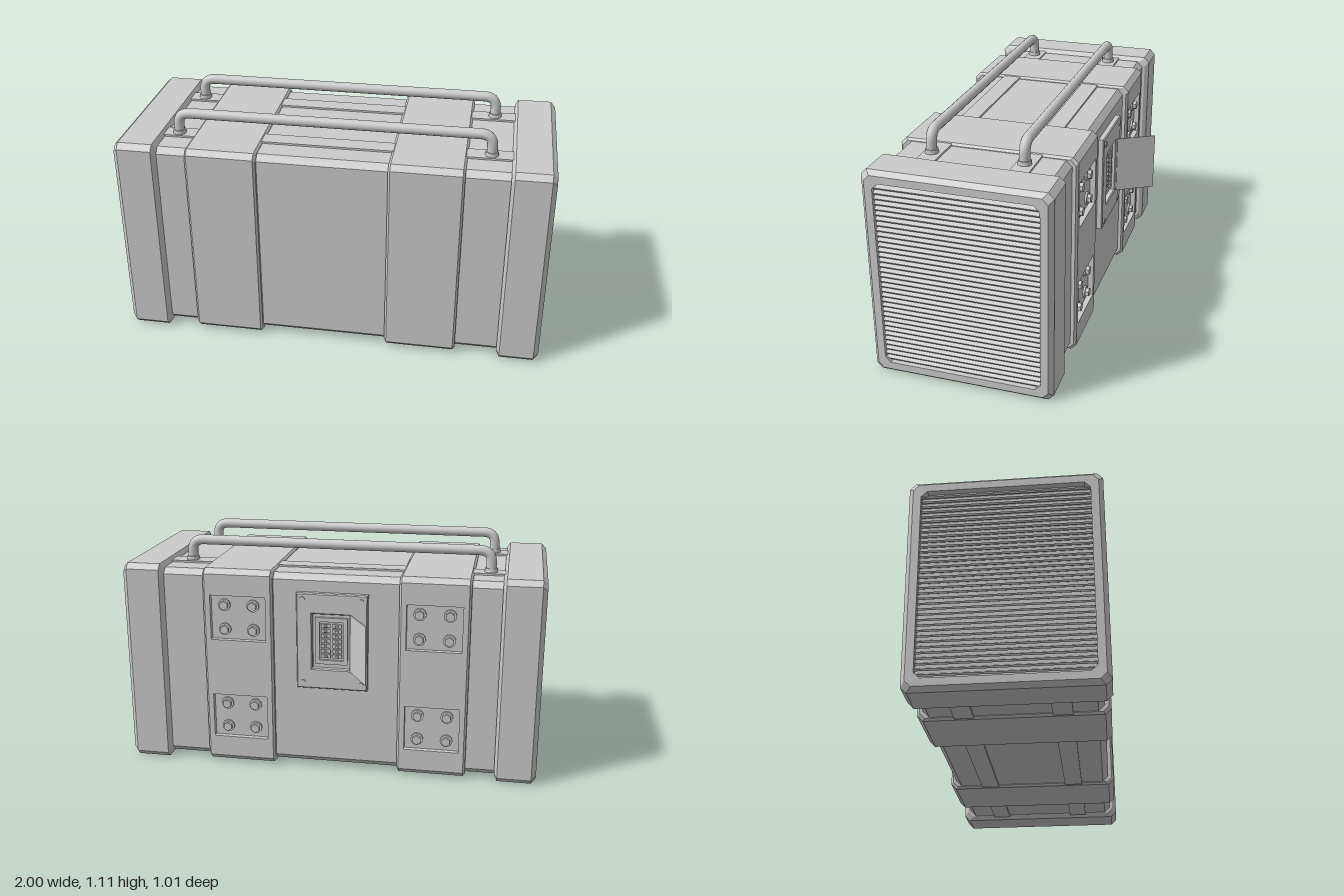
import * as THREE from 'three';

const MID_Y = 0.4975, MID_Z = 0.083;
const flat = new THREE.MeshStandardMaterial({ color: 0xcccccc, flatShading: true });
const smooth = new THREE.MeshStandardMaterial({ color: 0xcccccc });
const thin = new THREE.MeshStandardMaterial({ color: 0xcccccc, side: THREE.DoubleSide });

function add(parent, name, geometry, x = 0, y = 0, z = 0, material = flat) {
  const mesh = new THREE.Mesh(geometry, material);
  mesh.name = name;
  mesh.position.set(x, y, z);
  parent.add(mesh);
  return mesh;
}

function box(parent, name, w, h, d, x, y, z) {
  return add(parent, name, new THREE.BoxGeometry(w, h, d), x, y, z);
}

// Rectangle with cut corners, as [y, z] points
function octagon(h, w, c) {
  return [[h, c - w], [h, w - c], [h - c, w], [c - h, w],
    [-h, w - c], [-h, c - w], [c - h, -w], [h - c, -w]];
}

// Skins cut-corner sections along x; each section is [x, inset]
function loft(h, w, c, sections) {
  const rings = sections.map(([x, inset]) =>
    octagon(h - inset, w - inset, c).map(([y, z]) => [x, y, z]));
  const pos = [];
  const tri = (...pts) => pts.forEach(p => pos.push(...p));
  for (let i = 0; i < rings.length - 1; i++) {
    const a = rings[i], b = rings[i + 1];
    for (let j = 0; j < 8; j++) {
      const k = (j + 1) % 8;
      tri(a[j], a[k], b[k]);
      tri(a[j], b[k], b[j]);
    }
  }
  const first = rings[0], last = rings[rings.length - 1];
  for (let j = 1; j < 7; j++) {
    tri(first[0], first[j + 1], first[j]);
    tri(last[0], last[j], last[j + 1]);
  }
  const g = new THREE.BufferGeometry();
  g.setAttribute('position', new THREE.Float32BufferAttribute(pos, 3));
  g.computeVertexNormals();
  return g;
}

// Cylinder whose axis points along z
function disc(parent, name, r, depth, sides, x, y, z) {
  const g = new THREE.CylinderGeometry(r, r, depth, sides).rotateX(Math.PI / 2);
  return add(parent, name, g, x, y, z);
}

// End cap with a recessed louvred grille, facing +x
function makeEndCap() {
  const cap = new THREE.Group();
  cap.name = 'endCap';
  add(cap, 'capFrame', loft(MID_Y, 0.42, 0.026, [
    [0.803, 0.02], [0.818, 0], [0.978, 0], [1, 0.02], [1, 0.055], [0.968, 0.055]]));
  const count = 35, pitch = 0.87 / count;
  for (let i = 0; i < count; i++) {
    const y = -0.435 + (i + 0.5) * pitch;
    const slat = box(cap, 'louvre', 0.026, 0.009, 0.728, 0.979, y, 0);
    slat.rotation.z = -0.5;
  }
  return cap;
}

// Strap around the case, with two bolted pockets at the back
function makeBand(x0, x1) {
  const band = new THREE.Group();
  band.name = 'band';
  const h = 0.488, w = 0.4125, c = 0.025, rim = 0.035, edge = 0.01, floor = -0.387;
  add(band, 'bandEdge', loft(h, w, c, [[x0, edge], [x0 + edge, 0], [x0 + rim, 0]]));
  add(band, 'bandEdge', loft(h, w, c, [[x1 - rim, 0], [x1 - edge, 0], [x1, edge]]));

  const pts = octagon(h, w, c).map(([y, z]) => new THREE.Vector2(-z, y));
  for (const [lo, hi] of [[-0.36, -0.14], [0.14, 0.36]]) {
    pts.push(...[[w, lo], [-floor, lo], [-floor, hi], [w, hi]].map(p => new THREE.Vector2(...p)));
  }
  // Put the notches between the lower and upper back corners
  const profile = [...pts.slice(0, 7), ...pts.slice(8), pts[7]];
  const middle = new THREE.ExtrudeGeometry(new THREE.Shape(profile),
    { depth: x1 - x0 - 2 * rim, bevelEnabled: false }).rotateY(Math.PI / 2);
  add(band, 'bandMiddle', middle, x0 + rim);

  const cx = (x0 + x1) / 2;
  for (const cy of [-0.25, 0.25]) {
    for (const sx of [-1, 1]) {
      for (const sy of [-1, 1]) {
        const x = cx + sx * 0.07, y = cy + sy * 0.06;
        disc(band, 'washer', 0.03, 0.01, 16, x, y, floor - 0.004);
        disc(band, 'boltHead', 0.022, 0.022, 6, x, y, floor - 0.014);
      }
    }
  }
  return band;
}

// Carry bar with bent ends and foot collars
function makeCarryBar(z) {
  const bar = new THREE.Group();
  bar.name = 'carryBar';
  const x0 = -0.74, x1 = 0.71, base = 0.965, top = 1.081, bend = 0.055;
  const v = (x, y) => new THREE.Vector3(x, y, z);
  const path = new THREE.CurvePath();
  path.add(new THREE.LineCurve3(v(x0, base), v(x0, top - bend)));
  path.add(new THREE.QuadraticBezierCurve3(v(x0, top - bend), v(x0, top), v(x0 + bend, top)));
  path.add(new THREE.LineCurve3(v(x0 + bend, top), v(x1 - bend, top)));
  path.add(new THREE.QuadraticBezierCurve3(v(x1 - bend, top), v(x1, top), v(x1, top - bend)));
  path.add(new THREE.LineCurve3(v(x1, top - bend), v(x1, base)));
  add(bar, 'bar', new THREE.TubeGeometry(path, 120, 0.024, 16), 0, 0, 0, smooth);
  for (const x of [x0, x1]) {
    add(bar, 'footCollar', new THREE.CylinderGeometry(0.029, 0.032, 0.025, 16), x, 0.987, z);
  }
  return bar;
}

// Breaker panel on the back with its door swung open
function makeControlPanel() {
  const panel = new THREE.Group();
  panel.name = 'controlPanel';
  const rect = (T, x0, x1, y0, y1) => new T([[x0, y0], [x1, y0], [x1, y1], [x0, y1]]
    .map(p => new THREE.Vector2(...p)));
  const plate = rect(THREE.Shape, -0.185, 0.145, 0.425, 0.885);
  plate.holes.push(rect(THREE.Path, -0.11, 0.08, 0.515, 0.795));
  add(panel, 'panelPlate', new THREE.ExtrudeGeometry(plate, {
    depth: 0.03, bevelSize: 0.005, bevelThickness: 0.005, bevelSegments: 1 }), 0, 0, -0.325);
  for (const x of [-0.16, 0.12]) {
    for (const y of [0.45, 0.86]) disc(panel, 'plateScrew', 0.013, 0.01, 12, x, y, -0.331);
  }
  // Inner frame and two columns of switches
  const inner = rect(THREE.Shape, -0.092, 0.062, 0.54, 0.77);
  inner.holes.push(rect(THREE.Path, -0.072, 0.042, 0.56, 0.75));
  add(panel, 'switchFrame', new THREE.ExtrudeGeometry(inner,
    { depth: 0.015, bevelEnabled: false }), 0, 0, -0.315);
  for (const x of [-0.042, 0.012]) {
    for (let i = 0; i < 7; i++) {
      const y = 0.58 + i * 0.025;
      box(panel, 'switchBody', 0.044, 0.018, 0.012, x, y, -0.307);
      box(panel, 'switchLever', 0.014, 0.009, 0.014, x, y, -0.317);
    }
  }
  // Hinged door
  const dx = -0.1, dz = -0.17;
  const door = add(panel, 'panelDoor', new THREE.BoxGeometry(Math.hypot(dx, dz), 0.28, 0.004),
    -0.11 + dx / 2, 0.655, -0.333 + dz / 2, thin);
  door.rotation.y = Math.atan2(-dz, dx);
  add(panel, 'doorHinge', new THREE.CylinderGeometry(0.005, 0.005, 0.27, 8), -0.11, 0.655, -0.331);
  return panel;
}

export function createModel() {
  const model = new THREE.Group();
  model.name = 'equipmentCase';

  const body = new THREE.Group();
  body.name = 'body';
  body.position.set(0, MID_Y, MID_Z);
  model.add(body);

  add(body, 'core', loft(0.475, 0.386, 0.028, [[-0.85, 0], [0.85, 0]]));

  // Long runners above and below
  for (const side of [-1, 1]) {
    for (const z of [-0.21, 0.21]) box(body, 'runner', 1.64, 0.02, 0.085, 0, side * 0.474, z);
  }

  const capA = makeEndCap(), capB = makeEndCap();
  capB.rotation.y = Math.PI;
  body.add(capA, capB, makeBand(-0.665, -0.335), makeBand(0.265, 0.605));

  for (const z of [-0.125, 0.298]) model.add(makeCarryBar(z));
  model.add(makeControlPanel());
  return model;
}
